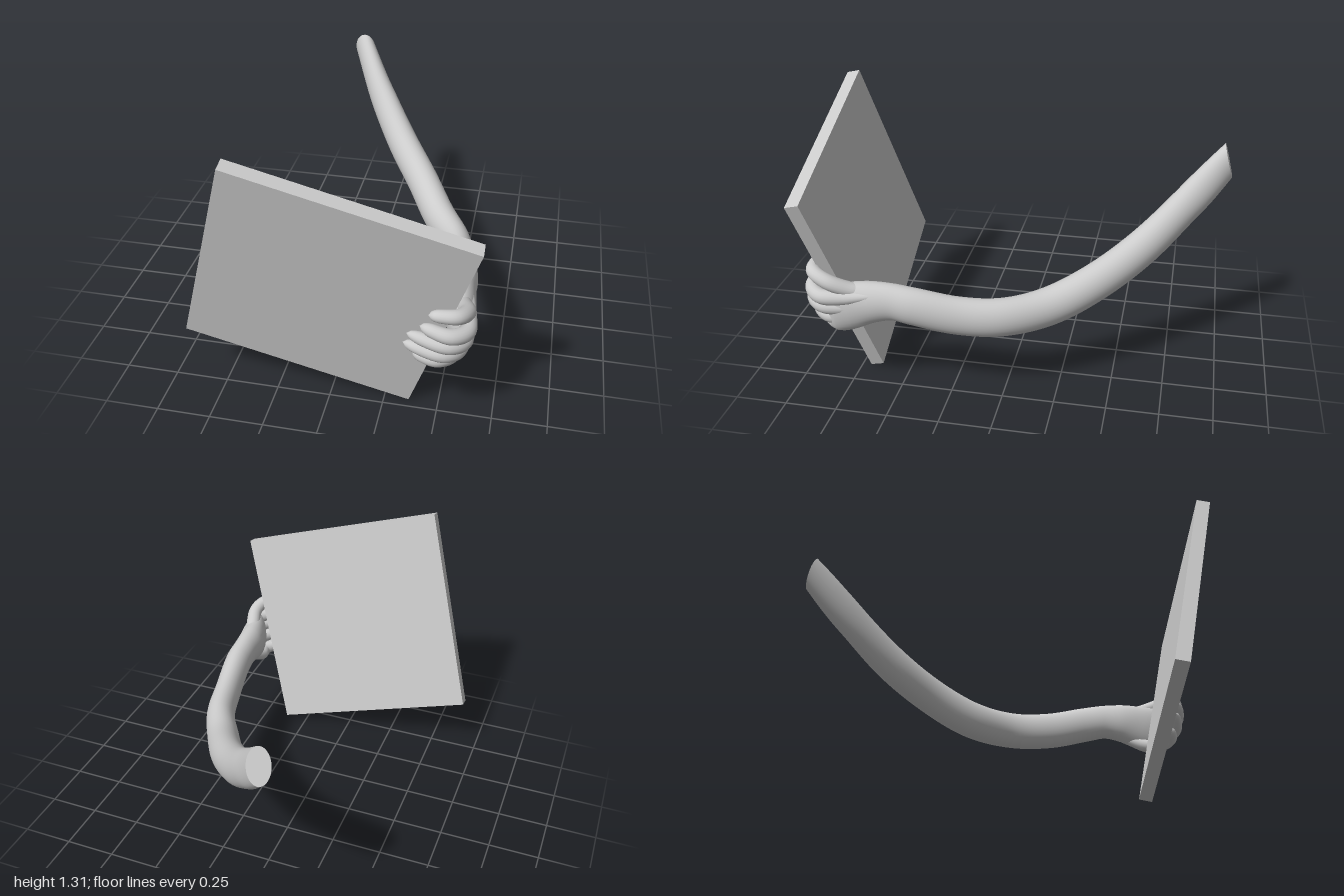
import * as THREE from 'three';

const V = (x, y, z) => new THREE.Vector3(x, y, z);
const material = new THREE.MeshStandardMaterial({ color: 0xcccccc });

// Sweeps an oval along stations [x, y, z, halfWidth, halfHeight].
// roundEnd: share of the path that rounds off; startNormal: tilts the first cut.
function sweep(name, stations, { segments, sides, roundEnd = 0, startNormal = null }) {
  const path = new THREE.CatmullRomCurve3(stations.map(s => V(s[0], s[1], s[2])));
  const sizes = new THREE.CatmullRomCurve3(stations.map(s => V(s[3], s[4], 0)), false, 'catmullrom', 0.5);
  const pos = [], idx = [];
  for (let i = 0; i <= segments; i++) {
    const t = i / segments;
    const c = path.getPoint(t), size = sizes.getPoint(t), dir = path.getTangent(t);
    if (startNormal && t < 0.1) dir.lerp(startNormal, 1 - t / 0.1).normalize();
    const side = dir.clone().cross(V(0, 1, 0)).normalize();
    const up = side.clone().cross(dir);
    const k = t > 1 - roundEnd ? Math.sqrt(Math.max(0.001, 1 - ((t - 1 + roundEnd) / roundEnd) ** 2)) : 1;
    for (let j = 0; j < sides; j++) {
      const a = j / sides * Math.PI * 2;
      const p = c.clone()
        .addScaledVector(side, size.x * k * Math.cos(a))
        .addScaledVector(up, size.y * k * Math.sin(a));
      pos.push(p.x, p.y, p.z);
    }
  }
  for (let i = 0; i < segments; i++) {
    for (let j = 0; j < sides; j++) {
      const a = i * sides + j, b = i * sides + (j + 1) % sides;
      idx.push(a, a + sides, b, b, a + sides, b + sides);
    }
  }
  // flat end caps with their own vertices, so their rims stay sharp
  for (const [ring, end] of [[0, false], [segments, true]]) {
    const first = pos.length / 3;
    pos.push(...pos.slice(ring * sides * 3, (ring + 1) * sides * 3));
    for (let j = 1; j < sides - 1; j++) {
      idx.push(first, first + (end ? j + 1 : j), first + (end ? j : j + 1));
    }
  }
  const geometry = new THREE.BufferGeometry();
  geometry.setAttribute('position', new THREE.Float32BufferAttribute(pos, 3));
  geometry.setIndex(idx);
  geometry.computeVertexNormals();
  const mesh = new THREE.Mesh(geometry, material);
  mesh.name = name;
  return mesh;
}

export function createModel() {
  const group = new THREE.Group();
  group.name = 'armHoldingBoard';

  // Square board, tipped forward and turned clockwise
  const board = new THREE.Mesh(new THREE.BoxGeometry(1.077, 1.063, 0.066), material);
  board.name = 'board';
  const right = V(1.03, -0.3, -0.066).normalize();
  const normal = V(0, -0.216, 0.976).normalize();
  const up = normal.clone().cross(right).normalize();
  board.quaternion.setFromRotationMatrix(new THREE.Matrix4().makeBasis(right, up, normal));
  board.position.set(0, 0.665, 0.817);
  group.add(board);

  // Curved arm, from the cut upper end to the wrist and palm
  group.add(sweep('arm', [
    [-0.185, 1.035, -0.978, 0.055, 0.088],
    [-0.06, 0.85, -0.8, 0.066, 0.088],
    [0.095, 0.665, -0.6, 0.077, 0.093],
    [0.245, 0.54, -0.4, 0.08, 0.094],
    [0.365, 0.457, -0.2, 0.08, 0.096],
    [0.475, 0.44, 0, 0.073, 0.095],
    [0.525, 0.455, 0.2, 0.068, 0.095],
    [0.557, 0.5, 0.4, 0.068, 0.093],
    [0.56, 0.515, 0.5, 0.066, 0.092],
    [0.566, 0.508, 0.6, 0.07, 0.105],
    [0.58, 0.487, 0.7, 0.06, 0.122],
    [0.592, 0.477, 0.77, 0.045, 0.125],
    [0.594, 0.475, 0.8, 0.02, 0.1],
  ], { segments: 96, sides: 32, startNormal: V(0, -0.26, 0.966) }));

  // Four fingers: back of the hand, round the board's edge, across its front
  const fingers = [
    // name, knuckle x, y, tip x, y, depth, radius
    ['indexFinger', 0.615, 0.545, 0.425, 0.59, 0.885, 0.035],
    ['middleFinger', 0.605, 0.492, 0.37, 0.543, 0.885, 0.035],
    ['ringFinger', 0.583, 0.43, 0.353, 0.478, 0.868, 0.035],
    ['littleFinger', 0.553, 0.373, 0.39, 0.407, 0.838, 0.034],
  ];
  for (const [name, x, y, tipX, tipY, z, r] of fingers) {
    group.add(sweep(name, [
      [0.592, 0.515 + (y - 0.46) * 0.6, 0.54, 0.022, 0.016],
      [x, y, 0.72, r, r],
      [x + 0.003, y, z - 0.06, r, r * 1.05],
      [x - 0.06, y + 0.014, z, r, r],
      [tipX, tipY, z - 0.008, r * 0.75, r * 0.75],
    ], { segments: 48, sides: 18, roundEnd: 0.1 }));
  }

  // Thumb lying above the fingers
  group.add(sweep('thumb', [
    [0.55, 0.555, 0.58, 0.03, 0.03],
    [0.59, 0.578, 0.69, 0.038, 0.036],
    [0.612, 0.622, 0.79, 0.036, 0.036],
    [0.575, 0.65, 0.865, 0.034, 0.033],
    [0.46, 0.657, 0.885, 0.027, 0.026],
  ], { segments: 48, sides: 18, roundEnd: 0.1 }));

  return group;
}
